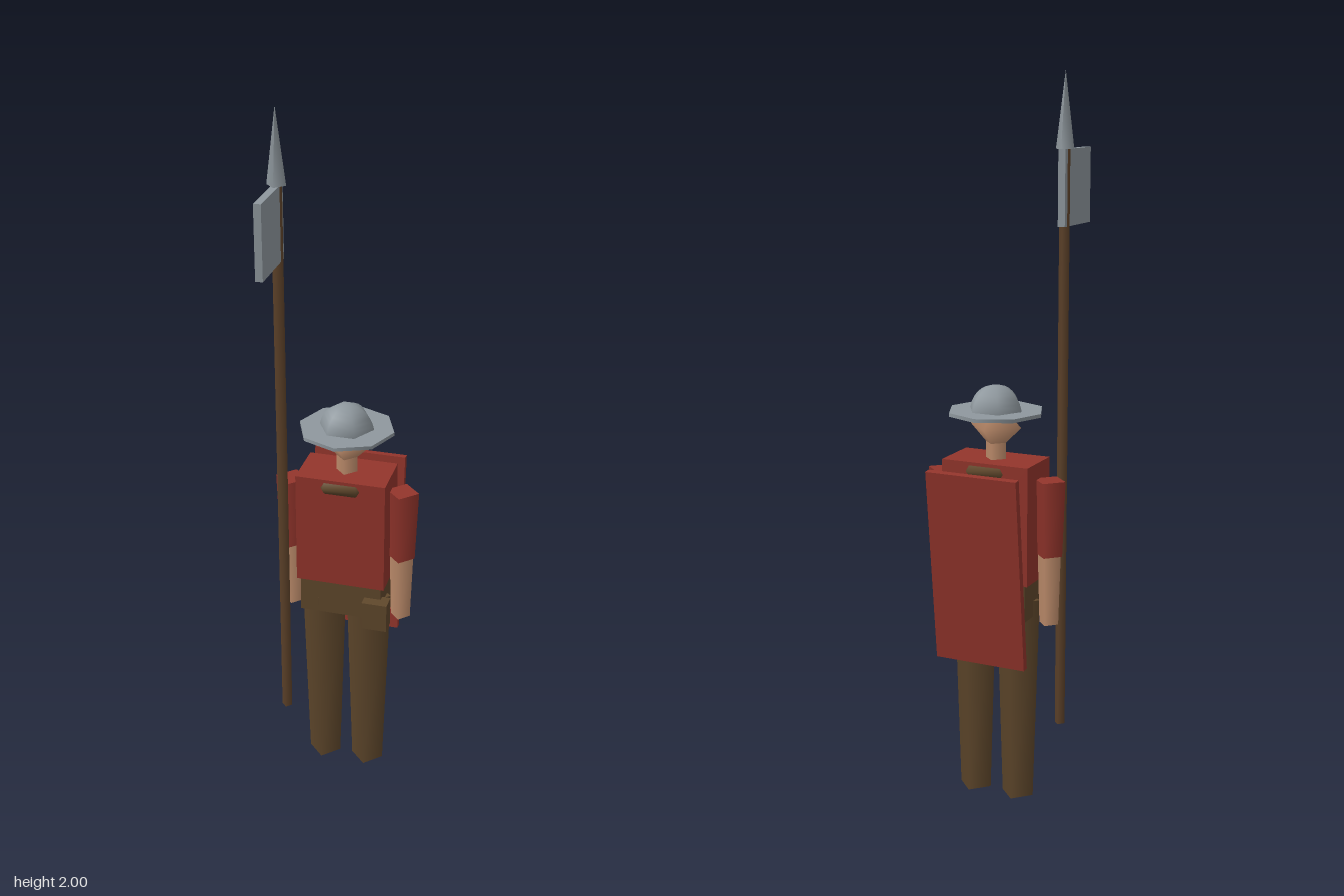
import * as THREE from 'three';

export function createModel() {
  const model = new THREE.Group();
  model.name = 'spearman';
  const paint = (name, color) => {
    const m = new THREE.MeshStandardMaterial({ color });
    m.name = name;
    return m;
  };
  const red = paint('red cloth', 0x94352c);
  const brown = paint('brown leather', 0x60482c);
  const wood = paint('spear wood', 0x5f432a);
  const steel = paint('steel', 0x8f989e);
  const skin = paint('skin', 0xc4916f);

  const add = (name, geometry, material, x, y, z) => {
    const mesh = new THREE.Mesh(geometry, material);
    mesh.name = name;
    mesh.position.set(x, y, z);
    model.add(mesh);
    return mesh;
  };
  const box = (name, mat, w, h, d, x, y, z) =>
    add(name, new THREE.BoxGeometry(w, h, d), mat, x, y, z);
  // Four-sided smooth tapered limb between two heights
  const limb = (name, mat, rTop, rBottom, yTop, yBottom, x, z) =>
    add(name, new THREE.CylinderGeometry(rTop, rBottom, yTop - yBottom, 4), mat, x, (yTop + yBottom) / 2, z);

  const Z = -0.038; // body axis

  // Body
  box('torso', red, 0.254, 0.33, 0.146, 0, 0.81, Z);
  box('belt', brown, 0.235, 0.105, 0.134, 0, 0.593, Z);
  box('pouch', brown, 0.072, 0.085, 0.047, 0.106, 0.567, 0.036);

  // Arms and legs
  for (const [side, s] of [['left', 1], ['right', -1]]) {
    limb(side + 'Sleeve', red, 0.046, 0.038, 0.93, 0.72, s * 0.16, Z);
    limb(side + 'Forearm', skin, 0.034, 0.028, 0.725, 0.525, s * 0.16, Z);
    limb(side + 'Leg', brown, 0.065, 0.047, 0.585, 0, s * 0.066, Z + 0.003);
  }

  // Collar ring that breaks through the front and back of the torso
  const collar = add('collar', new THREE.TorusGeometry(0.079, 0.018, 6, 6), brown, 0, 0.95, Z);
  collar.rotation.x = Math.PI / 2;

  // Head and helmet
  limb('neck', skin, 0.03, 0.03, 1.03, 0.96, 0, Z);
  add('head', new THREE.SphereGeometry(0.075, 4, 2), skin, 0, 1.065, Z);
  add('helmetBrim', new THREE.CylinderGeometry(0.133, 0.133, 0.01, 8), steel, 0, 1.104, Z);
  add('helmetDome', new THREE.SphereGeometry(0.077, 6, 8, 0, Math.PI * 2, 0, Math.PI / 2), steel, 0, 1.1, Z);

  // Shield slung on the back
  const shield = box('shield', red, 0.265, 0.545, 0.02, 0, 0.688, -0.16);
  shield.rotation.x = -0.104;

  // Spear with pennant
  limb('spearShaft', wood, 0.015, 0.015, 1.805, 0.2, -0.161, 0.043);
  add('spearHead', new THREE.ConeGeometry(0.026, 0.2, 4), steel, -0.161, 1.9, 0.043);
  box('pennant', steel, 0.02, 0.2, 0.174, -0.161, 1.7, 0.109);

  return model;
}
